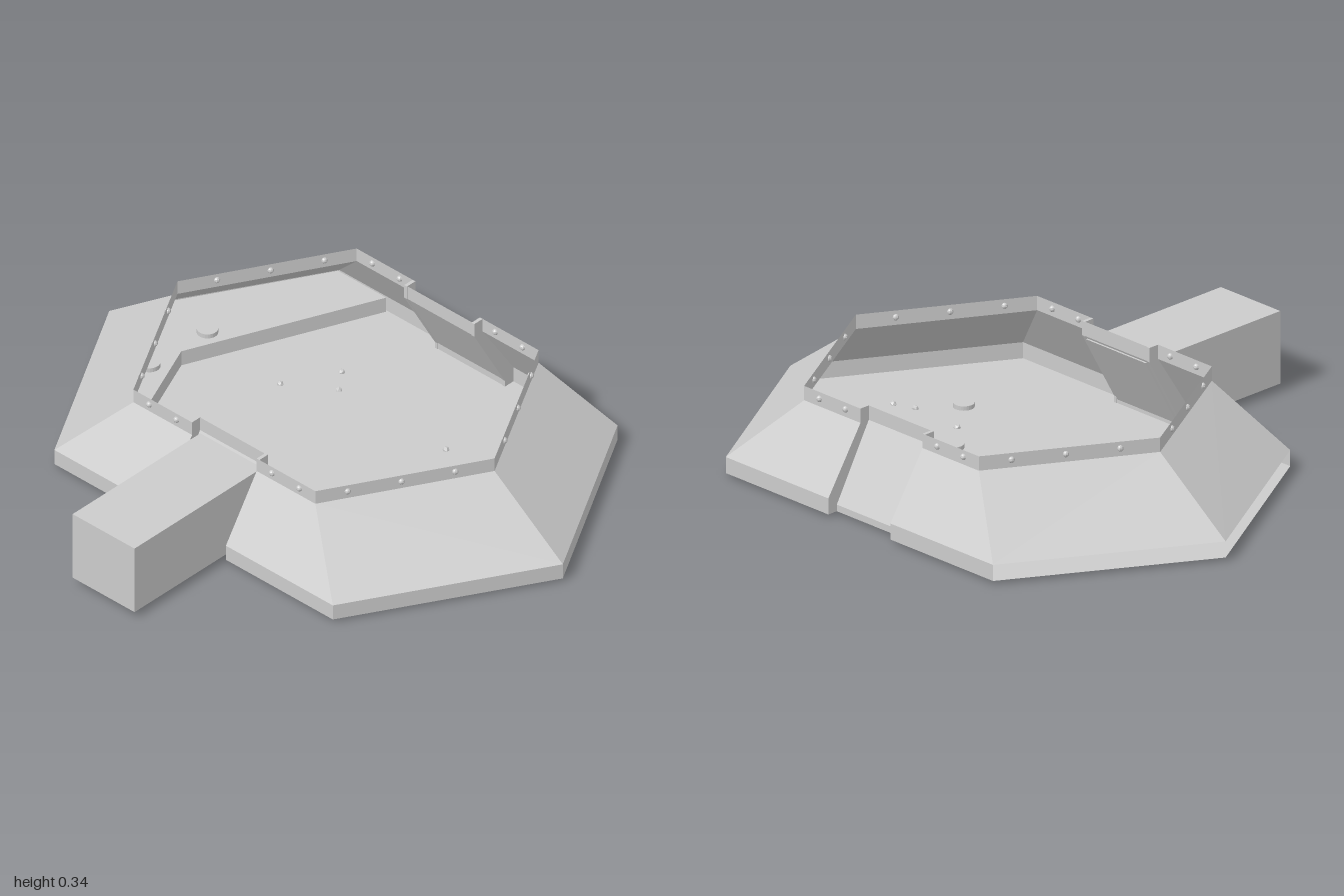
import * as THREE from 'three';

const DOOR = 0.15; // half width of the side doorways

export function createModel() {
  const root = new THREE.Group();
  const solid = new THREE.MeshStandardMaterial({ color: 0xcccccc, flatShading: true });
  const sheet = solid.clone();
  sheet.side = THREE.DoubleSide;
  const hall = new THREE.Group();
  hall.name = 'arena';
  hall.position.x = 0.207;
  root.add(hall);

  const add = (name, geo, mat = solid, parent = hall) => {
    const m = new THREE.Mesh(geo, mat);
    m.name = name;
    parent.add(m);
    return m;
  };

  // surface between two plan outlines [x, z] at heights y0 and y1
  const strip = (name, low, y0, high, y1, mat = sheet) => {
    const pos = [];
    for (let i = 0; i < low.length - 1; i++) {
      const a = [low[i][0], y0, low[i][1]], b = [low[i + 1][0], y0, low[i + 1][1]];
      const c = [high[i + 1][0], y1, high[i + 1][1]], d = [high[i][0], y1, high[i][1]];
      pos.push(...a, ...b, ...c, ...a, ...c, ...d);
    }
    const g = new THREE.BufferGeometry();
    g.setAttribute('position', new THREE.Float32BufferAttribute(pos, 3));
    g.computeVertexNormals();
    return add(name, g, mat);
  };

  // flat plate from a plan outline
  const plate = (name, pts, y) => {
    const g = new THREE.ShapeGeometry(new THREE.Shape(pts.map(([x, z]) => new THREE.Vector2(x, -z))));
    g.rotateX(-Math.PI / 2);
    add(name, g, sheet).position.y = y;
  };

  const half = (x, z, tip, s) => [[x, s * DOOR], [x, s * z], [0, s * tip], [-x, s * z], [-x, s * DOOR]];
  const Y = { base: 0.012, skirt: 0.068, eave: 0.288, top: 0.338 };

  // sloped hexagonal shell: skirt, slope and upright rim, in front and back halves
  for (const s of [1, -1]) {
    const outer = half(0.666, 0.612, 0.997, s), inner = half(0.522, 0.4, 0.697, s);
    const side = s > 0 ? 'front' : 'back';
    strip(side + 'Slope', outer, Y.skirt, inner, Y.eave);
    strip(side + 'Rim', inner, Y.eave, inner, Y.top);
    if (s > 0) strip('frontSkirt', outer, Y.base, outer, Y.skirt);
    else {
      strip('backSkirtRight', outer.slice(0, 2), Y.base, outer.slice(0, 2), Y.skirt);
      strip('backSkirtLeft', outer.slice(3), Y.base, outer.slice(3), Y.skirt);
      // back skirt faces the interior only
      const back = outer.slice(1, 4).reverse();
      strip('backSkirtInner', back, Y.base, back, Y.skirt, solid);
    }
  }

  // floor with a notch at each doorway
  const outerF = half(0.666, 0.612, 0.997, 1), outerB = half(0.666, 0.612, 0.997, -1).reverse();
  plate('floor', [...outerF, [-0.628, DOOR], [-0.628, -DOOR], ...outerB, [0.628, -DOOR], [0.628, DOOR]], Y.base);

  // raised shelf at the back
  const ledge = [[-0.66, -0.4], [0, -0.68], [0.66, -0.4]];
  strip('shelfStep', ledge, Y.base, ledge, Y.skirt);
  plate('shelf', [...ledge, [0.66, -0.612], [0, -0.99], [-0.66, -0.612]], Y.skirt);

  // recessed door panels with jambs
  for (const s of [1, -1]) {
    const line = x => [[s * x, -DOOR], [s * x, DOOR]];
    strip('doorLintel', line(0.485), Y.eave, line(0.485), Y.top);
    strip('doorPanel', line(0.628), 0.035, line(0.485), Y.eave);
    strip('doorSill', line(0.628), Y.base, line(0.628), 0.035);
    const profile = [[0.666, Y.base], [0.666, Y.skirt], [0.522, Y.eave], [0.522, Y.top],
      [0.483, Y.top], [0.483, Y.eave], [0.626, 0.035], [0.626, Y.base]];
    const shape = new THREE.Shape(profile.map(([x, y]) => new THREE.Vector2(s * x, y)));
    for (const z of [-DOOR - 0.004, DOOR - 0.008]) {
      const jamb = new THREE.ExtrudeGeometry(shape, { depth: 0.012, bevelEnabled: false });
      add('doorJamb', jamb).position.z = z;
    }
  }

  // entrance tunnel on one side
  const tunnel = new THREE.Shape([[-0.88, 0.027], [-0.417, 0.027], [-0.275, 0.28], [-0.88, 0.28]]
    .map(p => new THREE.Vector2(...p)));
  const tunnelGeo = new THREE.ExtrudeGeometry(tunnel, { depth: 0.272, bevelEnabled: false });
  add('entranceTunnel', tunnelGeo, solid, root).position.z = -0.136;

  // round floor pads
  const disc = new THREE.CylinderGeometry(0.035, 0.035, 0.026, 24);
  const pads = [[0, 0.25, 0], [-0.257, 0.465, 0], [0.257, 0.465, 0], [0, 0.67, 0],
    [-0.467, -0.565, 1], [-0.297, -0.63, 1], [-0.127, -0.7, 1], [0.133, -0.69, 1]];
  for (const [x, z, up] of pads) add('floorPad', disc, solid).position.set(x, up ? 0.071 : 0.014, z);

  // pebbles set in the floor
  const pebble = new THREE.IcosahedronGeometry(0.012, 0);
  const stones = [[-0.257, -0.38], [0.143, -0.38], [0.325, -0.28], [0.248, -0.22], [-0.207, -0.235],
    [-0.485, -0.18], [0.248, 0.25], [-0.12, 0.355], [0.113, 0.37], [0, 0.45], [0.118, 0.525],
    [-0.132, 0.56], [0.095, 0.64], [-0.107, 0.635]];
  stones.forEach(([x, z], i) => {
    const p = add('pebble', pebble);
    p.position.set(x, 0.013, z);
    p.rotation.y = i * 1.3;
  });

  // studs along the rim
  const stud = new THREE.SphereGeometry(0.011, 8, 6);
  for (const sx of [1, -1]) for (const sz of [1, -1]) {
    for (const t of [0.22, 0.52, 0.82])
      add('rimStud', stud).position.set(sx * 0.522 * t, 0.315, sz * (0.697 - 0.297 * t));
    for (const z of [0.21, 0.33]) add('rimStud', stud).position.set(sx * 0.522, 0.315, sz * z);
  }
  return root;
}
